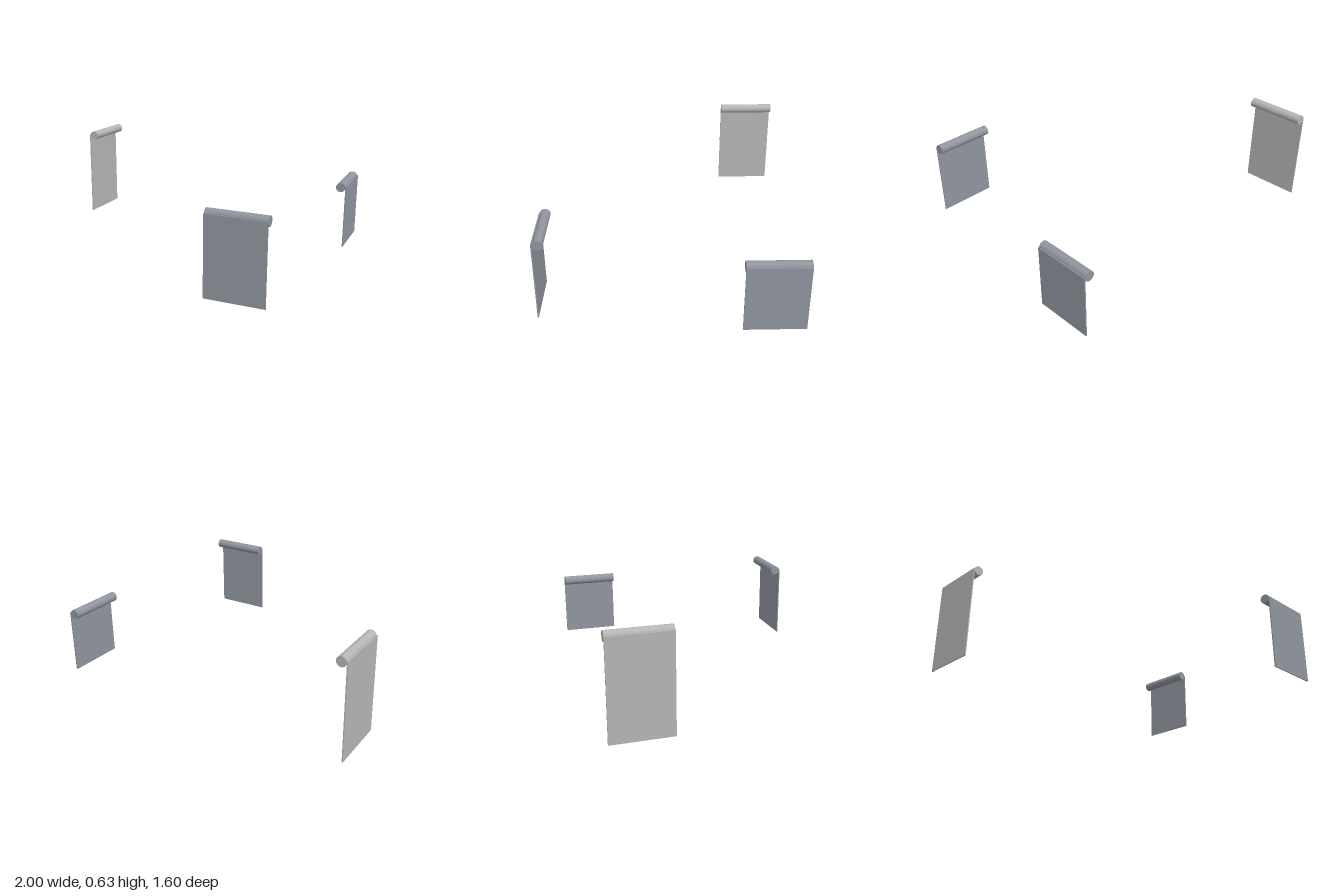
import * as THREE from 'three';

const R = 0.031; // roller radius
const T = 0.007; // blind thickness

// One roller blind: cloth's outer face at z = 0, roller behind it toward -z
function makeShade(name, width, rollerY, material) {
  const shade = new THREE.Group();
  shade.name = name;

  const height = rollerY + 0.006;
  const cloth = new THREE.Mesh(new THREE.BoxGeometry(width, height, T), material);
  cloth.name = 'blindCloth';
  cloth.position.set(0, height / 2, -T / 2);

  const roller = new THREE.Mesh(new THREE.CylinderGeometry(R, R, width, 32), material);
  roller.name = 'blindRoller';
  roller.rotation.z = Math.PI / 2;
  roller.position.set(0, rollerY, -T - R);

  shade.add(cloth, roller);
  return shade;
}

export function createModel() {
  const model = new THREE.Group();
  model.name = 'rollerBlinds';

  const lightGrey = new THREE.MeshStandardMaterial({ color: 0xb5b5b4 });
  lightGrey.name = 'lightGrey';
  const blueGrey = new THREE.MeshStandardMaterial({ color: 0x90959e });
  blueGrey.name = 'blueGrey';

  // Front blind, roller on the inside
  const front = makeShade('frontBlind', 0.37, 0.492, blueGrey);
  front.position.set(0.665, 0, 0.8);

  // Left blind, outer face toward +x
  const left = makeShade('leftBlind', 0.37, 0.409, blueGrey);
  left.rotation.y = Math.PI / 2;
  left.position.set(0.998, 0, -0.577);

  // Tall right blind, outer face toward -x
  const right = makeShade('rightBlind', 0.378, 0.602, lightGrey);
  right.rotation.y = -Math.PI / 2;
  right.position.set(-1, 0, -0.611);

  model.add(front, left, right);
  return model;
}
